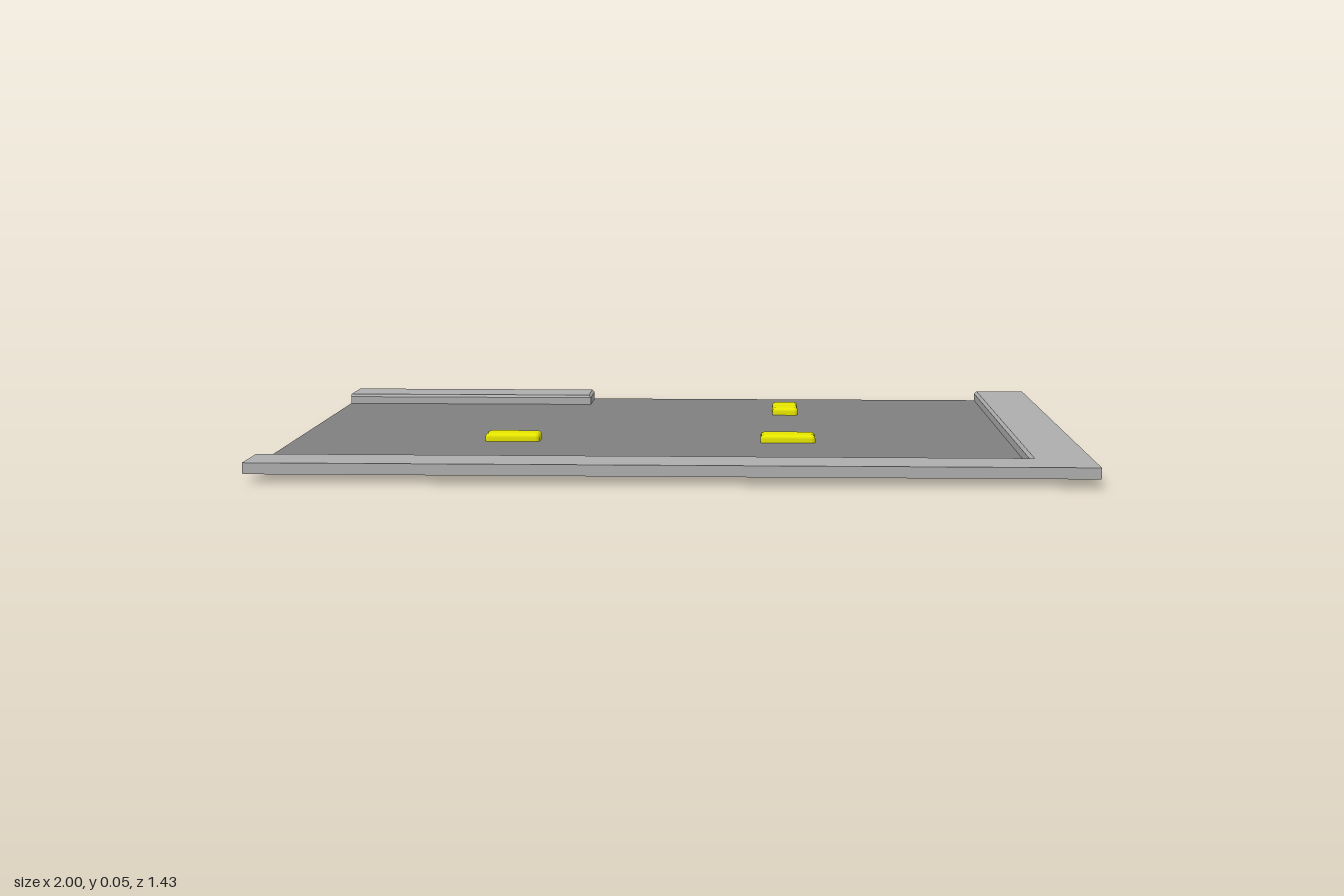
import * as THREE from 'three';
import { mergeGeometries } from 'three/addons/utils/BufferGeometryUtils.js';
import { RoundedBoxGeometry } from 'three/addons/geometries/RoundedBoxGeometry.js';

const FLOOR_Y = 0.021, TOP_Y = 0.048, BEVEL = 0.007;

// Flat horizontal sheet from an [x, z] outline
function sheet(outline, y) {
  const shape = new THREE.Shape(outline.map(([x, z]) => new THREE.Vector2(x, -z)));
  return new THREE.ShapeGeometry(shape).rotateX(-Math.PI / 2).translate(0, y, 0).toNonIndexed();
}

// Band of flat quads joining two matching outlines at different heights
function band(low, y0, high, y1) {
  const positions = [], uvs = [];
  low.forEach(([ax, az], i) => {
    const j = (i + 1) % low.length;
    const [bx, bz] = low[j], [cx, cz] = high[j], [dx, dz] = high[i];
    positions.push(ax, y0, az, bx, y0, bz, cx, y1, cz, ax, y0, az, cx, y1, cz, dx, y1, dz);
    uvs.push(0, 0, 1, 0, 1, 1, 0, 0, 1, 1, 0, 1);
  });
  const geometry = new THREE.BufferGeometry();
  geometry.setAttribute('position', new THREE.Float32BufferAttribute(positions, 3));
  geometry.setAttribute('uv', new THREE.Float32BufferAttribute(uvs, 2));
  geometry.computeVertexNormals();
  return geometry;
}

// Hollow raised border, open underneath; outlineAt(b) draws its inner edges pulled back by b
function curb(outlineAt) {
  const foot = outlineAt(0), top = outlineAt(BEVEL);
  return mergeGeometries([
    band(foot, FLOOR_Y, foot, TOP_Y - BEVEL),
    band(foot, TOP_Y - BEVEL, top, TOP_Y),
    sheet(top, TOP_Y),
  ]);
}

export function createModel() {
  const group = new THREE.Group();
  const floorGrey = new THREE.MeshStandardMaterial({ color: 0x808080, side: THREE.DoubleSide });
  const curbGrey = new THREE.MeshStandardMaterial({ color: 0xadadad, side: THREE.DoubleSide });
  const yellow = new THREE.MeshStandardMaterial({ color: 0xe6e600 });
  const add = (name, geometry, material) => {
    const mesh = new THREE.Mesh(geometry, material);
    mesh.name = name;
    group.add(mesh);
    return mesh;
  };

  const X = 1, Z = 0.715;         // outer half sizes
  const xi = 0.857, zi = 0.572;   // inner edges of the L-shaped curb
  const xs = -0.286, zs = -0.575; // inner corner of the short back curb

  // Floor, notched around the short curb
  add('floor', sheet([[-X, zi], [xi, zi], [xi, -Z], [xs, -Z], [xs, zs], [-X, zs]], FLOOR_Y), floorGrey);

  // Raised borders, outlines counter-clockwise from above
  add('cornerCurb', curb((b) => [
    [-X, Z], [X, Z], [X, -Z], [xi + b, -Z], [xi + b, zi + b], [-X, zi + b],
  ]), curbGrey);
  add('backCurb', curb((b) => [
    [-X, zs - b], [xs - b, zs - b], [xs - b, -Z], [-X, -Z],
  ]), curbGrey);

  // Rounded markers set through the floor: x, z, quarter turns
  const marker = new RoundedBoxGeometry(0.142, 0.042, 0.072, 2, 0.011);
  [[-0.43, 0.14, 0], [0.285, 0.14, 0], [0.285, -0.43, 1]].forEach(([x, z, turns], i) => {
    const mesh = add('floorMarker' + (i + 1), marker, yellow);
    mesh.position.set(x, FLOOR_Y, z);
    mesh.rotation.y = turns * Math.PI / 2;
  });

  return group;
}
